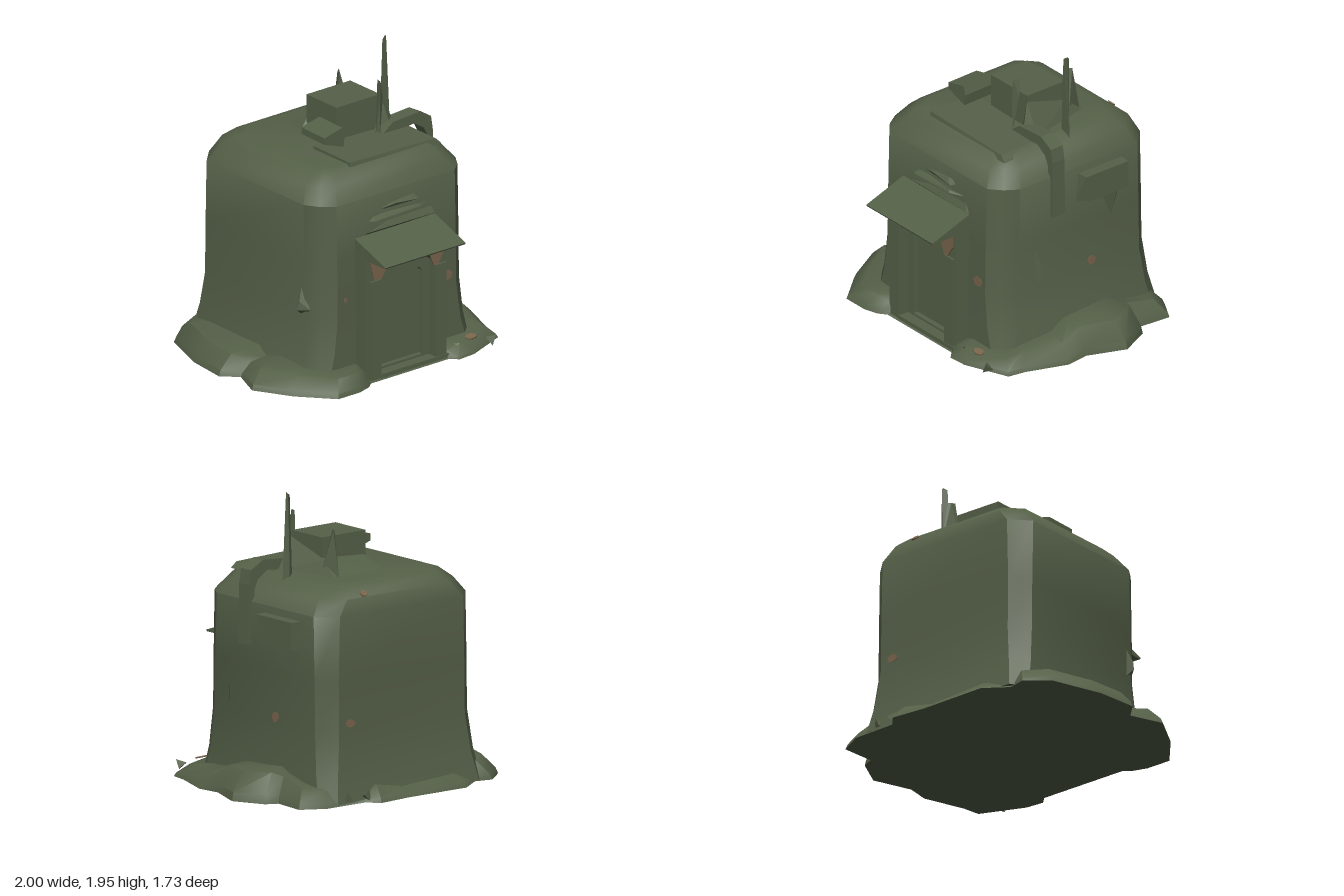
import * as THREE from 'three';
import { toCreasedNormals } from 'three/addons/utils/BufferGeometryUtils.js';
import { ConvexGeometry } from 'three/addons/geometries/ConvexGeometry.js';

const olive = new THREE.MeshStandardMaterial({ color: 0x556048, side: THREE.DoubleSide });
olive.name = 'olive';
const rust = new THREE.MeshStandardMaterial({ color: 0x7a644c, side: THREE.DoubleSide });
rust.name = 'rust';

// Skin rings of [x, y, z] points from bottom to top and cap both ends
function loft(rings, crease = 0.6) {
  const n = rings[0].length, pos = rings.flat(2), idx = [];
  for (let r = 0; r < rings.length - 1; r++) {
    for (let i = 0; i < n; i++) {
      const j = (i + 1) % n, a = r * n + i, b = r * n + j;
      idx.push(a, a + n, b, b, a + n, b + n);
    }
  }
  [0, rings.length - 1].forEach((r, top) => {
    const c = [0, 1, 2].map(k => rings[r].reduce((s, p) => s + p[k], 0) / n);
    const ci = pos.length / 3;
    pos.push(...c);
    for (let i = 0; i < n; i++) {
      const a = r * n + i, b = r * n + (i + 1) % n;
      idx.push(ci, top ? b : a, top ? a : b);
    }
  });
  const g = new THREE.BufferGeometry();
  g.setAttribute('position', new THREE.Float32BufferAttribute(pos, 3));
  g.setIndex(idx);
  return toCreasedNormals(g, crease);
}

// Rectangle with clipped corners: wide clips at the front, narrow at the back
function wallRing([y, x, zf, zb, cf, cb]) {
  return [
    [x, y, zf - cf * 1.15], [x - cf * 0.42, y, zf - cf * 0.5], [x - cf, y, zf],
    [-x + cf, y, zf], [-x + cf * 0.42, y, zf - cf * 0.5], [-x, y, zf - cf * 1.15],
    [-x, y, zb + cb], [-x + cb, y, zb], [x - cb, y, zb], [x, y, zb + cb],
  ];
}

const hull = pts => new ConvexGeometry(pts.map(p => new THREE.Vector3(...p)));

function plate(points, depth, holes = []) {
  const toV = p => p.map(([x, y]) => new THREE.Vector2(x, y));
  const s = new THREE.Shape(toV(points));
  holes.forEach(h => s.holes.push(new THREE.Path(toV(h))));
  return new THREE.ExtrudeGeometry(s, { depth, bevelEnabled: false });
}

export function createModel() {
  const model = new THREE.Group();
  const add = (name, geo, x = 0, y = 0, z = 0, mat = olive, parent = model) => {
    const m = new THREE.Mesh(geo, mat);
    m.name = name;
    m.position.set(x, y, z);
    parent.add(m);
    return m;
  };
  const box = (name, x0, x1, y0, y1, z0, z1, parent = model) => add(name,
    new THREE.BoxGeometry(x1 - x0, y1 - y0, z1 - z0),
    (x0 + x1) / 2, (y0 + y1) / 2, (z0 + z1) / 2, olive, parent);

  // Main bunker: y, half width, front z, back z, front clip, back clip
  add('bunkerBody', loft([
    [0.01, 0.68, 0.575, -0.77, 0.1, 0.09],
    [0.2, 0.655, 0.57, -0.73, 0.13, 0.1],
    [0.45, 0.635, 0.565, -0.705, 0.14, 0.11],
    [0.8, 0.635, 0.56, -0.70, 0.14, 0.11],
    [1.22, 0.635, 0.55, -0.70, 0.14, 0.12],
    [1.32, 0.56, 0.475, -0.67, 0.13, 0.13],
    [1.385, 0.485, 0.41, -0.59, 0.1, 0.11],
    [1.402, 0.43, 0.37, -0.53, 0.08, 0.1],
  ].map(wallRing), 0.7));

  // Rubble skirt: outline x, z and local height
  const outline = [
    [-0.42, -0.85, 0.08], [0.05, -0.84, 0.06], [0.3, -0.86, 0.1], [0.37, -0.78, 0.06],
    [0.68, -0.77, 0.11], [0.84, -0.68, 0.12], [0.82, -0.45, 0.16], [0.9, -0.41, 0.19],
    [1.0, -0.2, 0.18], [0.9, 0.06, 0.17], [0.92, 0.22, 0.11], [0.82, 0.5, 0.1],
    [0.8, 0.62, 0.08], [0.5, 0.74, 0.08], [0.37, 0.75, 0.05], [0.32, 0.7, 0.025],
    [-0.33, 0.7, 0.025], [-0.38, 0.74, 0.07], [-0.48, 0.77, 0.1], [-0.66, 0.77, 0.1],
    [-0.85, 0.55, 0.11], [-0.99, 0.3, 0.12], [-0.9, 0.08, 0.08], [-1.0, -0.02, 0.13],
    [-0.97, -0.3, 0.13], [-0.85, -0.65, 0.13], [-0.7, -0.77, 0.12], [-0.58, -0.74, 0.08],
  ];
  add('rubbleBase', loft([[1, 0], [0.985, 0.3], [0.9, 1], [0.78, 1.05], [0.6, 1]].map(
    ([s, k]) => outline.map(([x, z, h]) => [x * s, h * k, z * s])), 0.75));

  // Entrance: deep frame with clipped opening, inner frame, door and threshold
  const opening = (w, h, c, y0 = 0) =>
    [[-w, y0], [w, y0], [w, h - c], [w - c, h], [-w + c, h], [-w, h - c]];
  const entrance = new THREE.Group();
  entrance.name = 'entrance';
  model.add(entrance);
  add('portal', plate([[-0.345, 0], [0.325, 0], [0.325, 0.87], [-0.345, 0.87]], 0.15,
    [opening(0.225, 0.75, 0.05, 0.015)]), 0, 0, 0.52, olive, entrance);
  add('doorFrame', plate(opening(0.225, 0.75, 0.06), 0.09, [opening(0.17, 0.66, 0.03, 0.05)]),
    0, 0, 0.525, olive, entrance);
  add('door', plate(opening(0.18, 0.67, 0.03, 0.03), 0.07), 0, 0, 0.51, olive, entrance);
  box('threshold', -0.24, 0.33, 0, 0.035, 0.55, 0.69, entrance);
  box('doorPost', -0.32, -0.23, 0, 0.69, 0.655, 0.685, entrance);
  box('doorPost', 0.225, 0.315, 0, 0.67, 0.655, 0.685, entrance);
  add('rustyLintel', plate([[-0.32, 0.84], [-0.285, 0.7], [-0.225, 0.69], [-0.18, 0.752],
    [0.18, 0.752], [0.215, 0.67], [0.25, 0.67], [0.3, 0.75], [0.305, 0.84]], 0.008),
  0, 0, 0.67, rust, entrance);
  add('canopy', hull([-0.345, 0.325].flatMap(x => [
    [x, 0.845, 0.86], [x, 0.855, 0.865], [x, 0.965, 0.55], [x, 0.845, 0.55]])), 0, 0, 0, olive, entrance);
  add('canopyLip', hull([[-0.27, 0.95, 0.54], [0.33, 0.96, 0.54], [0.28, 1.06, 0.54],
    [-0.25, 0.98, 0.57], [0.31, 0.98, 0.575], [0.1, 1.05, 0.54]]), 0, 0, 0, olive, entrance);
  add('ledge', hull([[-0.24, 1.05, 0.54], [-0.18, 1.08, 0.54], [0.28, 1.065, 0.54],
    [-0.2, 1.055, 0.59], [0.17, 1.07, 0.6], [0.16, 1.085, 0.59]]));
  add('brokenLedge', hull([[-0.18, 1.1, 0.54], [-0.05, 1.135, 0.54], [0.15, 1.15, 0.54],
    [0.18, 1.12, 0.54], [-0.02, 1.13, 0.575], [0.17, 1.12, 0.59], [0.12, 1.145, 0.57]]));

  // Roof equipment
  add('roofPanel', hull([[-0.26, 1.36, 0.04], [-0.26, 1.422, 0.04], [-0.26, 1.36, 0.41],
    [-0.26, 1.418, 0.4], [0.48, 1.36, 0.04], [0.45, 1.405, 0.04], [0.5, 1.36, 0.41], [0.46, 1.4, 0.4]]));
  box('roofUnit', -0.075, 0.29, 1.38, 1.64, -0.25, 0.05);
  add('roofUnitWedge', hull([[-0.13, 1.39, -0.25], [-0.1, 1.39, -0.41], [0.31, 1.39, -0.4],
    [0.33, 1.39, 0.12], [0.42, 1.39, 0.06], [-0.06, 1.48, -0.26], [0.29, 1.5, -0.27], [0.3, 1.6, 0.06]]));
  add('ventBox', hull([[-0.31, 1.5], [-0.31, 1.545], [-0.16, 1.58], [-0.14, 1.52],
    [-0.15, 1.445]].flatMap(([x, y]) => [[x, y, -0.02], [x, y - 0.005, 0.21]])));
  add('antenna', hull([[0.43, 1.37, -0.12], [0.51, 1.37, -0.12], [0.47, 1.37, -0.145],
    [0.45, 1.92, -0.12], [0.485, 1.945, -0.125], [0.48, 1.93, -0.14]]));
  add('roofSpike', hull([[0.2, 1.39, -0.28], [0.32, 1.39, -0.27], [0.27, 1.39, -0.4],
    [0.24, 1.7, -0.3], [0.27, 1.7, -0.34], [0.25, 1.69, -0.33]]));
  add('bentMast', hull([[0.21, 1.39, 0.1], [0.23, 1.39, 0.12], [0.225, 1.61, 0.125],
    [0.27, 1.64, 0.1], [0.235, 1.76, 0.12], [0.25, 1.76, 0.07]]));

  // Flat duct that bends over the roof edge and down the wall
  const ductPath = [[0.22, 1.39], [0.32, 1.465], [0.54, 1.48], [0.64, 1.425], [0.655, 1.33],
    [0.665, 0.94], [0.62, 0.94], [0.61, 1.3], [0.58, 1.36], [0.5, 1.41], [0.3, 1.39]];
  add('duct', plate(ductPath, 0.1), 0, 0, 0.04);

  // Wall unit with a torn bracket underneath
  add('wallUnit', hull([[0.62, 1.17, -0.09], [0.62, 0.97, -0.07], [0.71, 1.17, -0.1],
    [0.71, 0.985, -0.14], [0.71, 1.17, -0.445], [0.71, 0.985, -0.445],
    [0.62, 1.17, -0.45], [0.62, 0.97, -0.45]]));
  add('wallBracket', hull([[0.63, 0.98, -0.27], [0.63, 0.98, -0.44], [0.7, 0.98, -0.36],
    [0.635, 0.78, -0.36], [0.66, 0.87, -0.36]]));

  // Torn plates on the side walls
  add('sideShard', hull([[0.62, 0.49, 0.28], [0.66, 0.48, 0.23], [0.66, 0.62, 0.235],
    [0.64, 0.73, 0.26], [0.62, 0.6, 0.28]]));
  add('sideShard', hull([[-0.62, 0.45, 0.36], [-0.685, 0.5, 0.38], [-0.62, 0.68, 0.36],
    [-0.62, 0.5, 0.44], [-0.67, 0.56, 0.39]]));
  // Loose splinters in the rubble
  [[0.68, 0.7], [0.4, 0.66], [0.5, -0.76], [0.36, -0.78]].forEach(([x, z], i) => {
    const s = add('splinter', new THREE.TetrahedronGeometry(0.045), x, 0.045, z);
    s.rotation.set(i, i * 1.7, 0.4);
  });

  // Rust spots: x, y, z, radius, height ratio, turn about y, tilt about x
  [[0.42, 0.515, 0.562, 0.045, 0.8, 0, 0], [-0.43, 0.56, 0.562, 0.018, 0.8, 0, 0],
    [0.634, 0.5, -0.2, 0.035, 1, Math.PI / 2, 0], [0.43, 0.515, -0.703, 0.042, 0.65, Math.PI, 0],
    [0.28, 1.34, -0.655, 0.028, 0.9, Math.PI, -0.8], [0.54, 0.085, 0.655, 0.045, 0.6, 0, -1.25],
  ].forEach(([x, y, z, r, ratio, turn, tilt]) => {
    const spot = add('rustSpot', new THREE.CylinderGeometry(r, r, 0.009, 7).rotateX(Math.PI / 2), x, y, z, rust);
    spot.scale.y = ratio;
    spot.rotation.set(tilt, turn, 0, 'YXZ');
  });
  return model;
}
